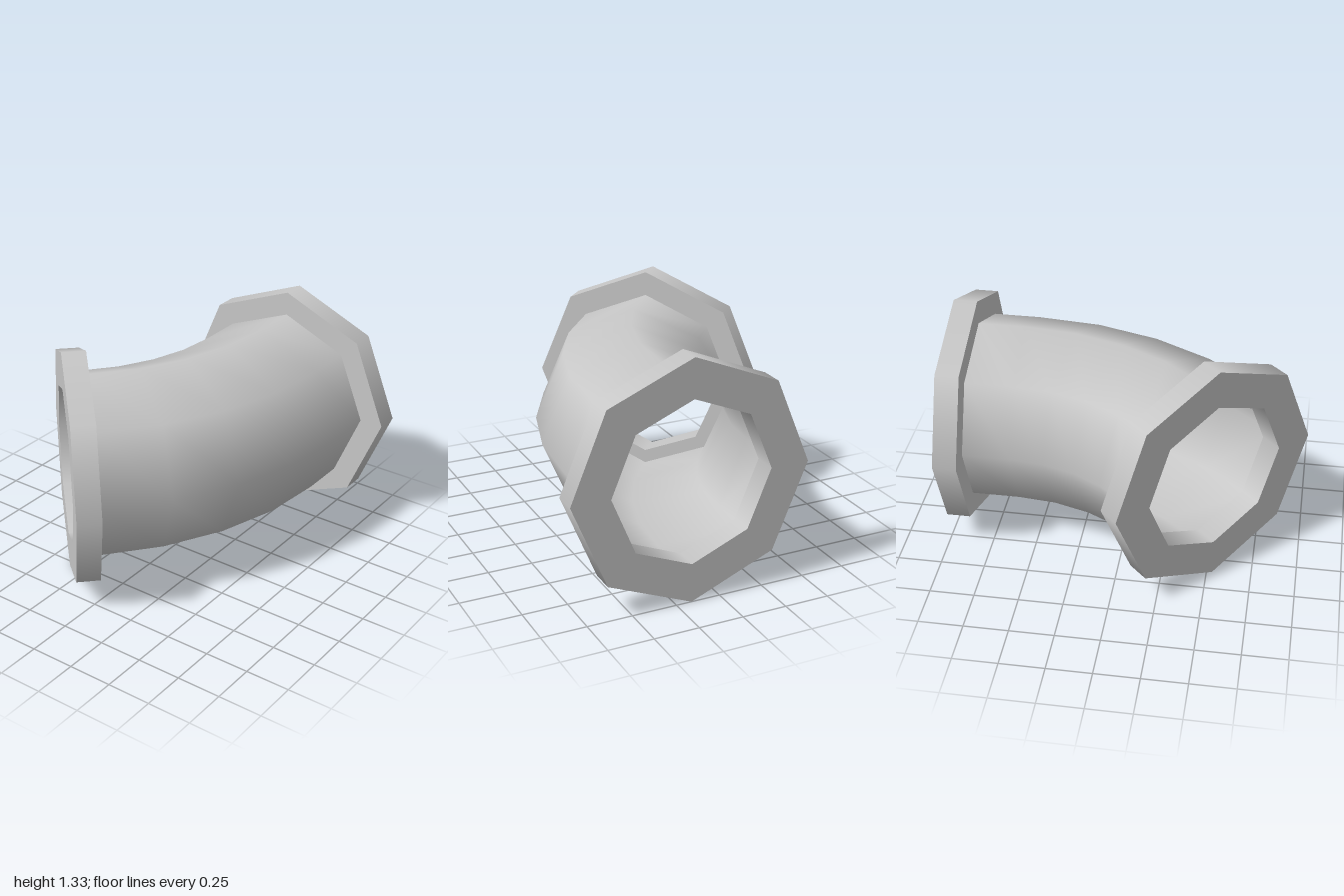
import * as THREE from 'three';
import { mergeGeometries } from 'three/addons/utils/BufferGeometryUtils.js';

const SIDES = 8;
const AXIS_Y = 0.667;      // height of the pipe axis
const PIPE_R = 0.53;
const FLANGE_R = 0.667, HOLE_R = 0.45, FLANGE_T = 0.133;
const BEND_R = 1.466, BEND_X = 0.6, PIPE_Z = 0.163, END_X = 0.867;
const BEND_STEPS = 4, BEND = Math.PI / 4;

// Octagonal ring along +x: smooth around, sharp at its rims
function flangeGeometry() {
  const corners = [[FLANGE_R, 0], [FLANGE_R, FLANGE_T], [HOLE_R, FLANGE_T], [HOLE_R, 0]]
    .map(([r, h]) => new THREE.Vector2(r, h));
  const faces = corners.map((p, i) => new THREE.LatheGeometry([p, corners[(i + 1) % 4]], SIDES));
  return mergeGeometries(faces).rotateZ(-Math.PI / 2);
}

// Thin-walled octagonal tube: short straight run, then a 45 degree bend
function pipeGeometry() {
  const stations = [{ x: END_X, z: PIPE_Z, angle: 0 }];
  for (let i = 0; i <= BEND_STEPS; i++) {
    const angle = (BEND * i) / BEND_STEPS;
    stations.push({
      x: BEND_X - BEND_R * Math.sin(angle),
      z: PIPE_Z - BEND_R * (1 - Math.cos(angle)),
      angle,
    });
  }
  const positions = [], index = [];
  stations.forEach(({ x, z, angle }, i) => {
    for (let j = 0; j < SIDES; j++) {
      const a = (j / SIDES) * Math.PI * 2;
      const out = PIPE_R * Math.sin(a);
      positions.push(x - out * Math.sin(angle), AXIS_Y + PIPE_R * Math.cos(a), z + out * Math.cos(angle));
      if (i < stations.length - 1) {
        const p = i * SIDES + j, q = i * SIDES + ((j + 1) % SIDES);
        index.push(p, p + SIDES, q, q, p + SIDES, q + SIDES);
      }
    }
  });
  const geometry = new THREE.BufferGeometry();
  geometry.setAttribute('position', new THREE.Float32BufferAttribute(positions, 3));
  geometry.setIndex(index);
  geometry.computeVertexNormals();
  return geometry;
}

export function createModel() {
  const group = new THREE.Group();
  group.name = 'pipeElbow';
  const grey = new THREE.MeshStandardMaterial({ color: 0xc8c8c8, side: THREE.DoubleSide });
  grey.name = 'light grey';

  const add = (name, geometry, x = 0, y = 0, z = 0, turn = 0) => {
    const mesh = new THREE.Mesh(geometry, grey);
    mesh.name = name;
    mesh.position.set(x, y, z);
    mesh.rotation.y = turn;
    group.add(mesh);
  };

  add('bentPipe', pipeGeometry());
  const flange = flangeGeometry();
  add('straightFlange', flange, END_X, AXIS_Y, PIPE_Z);
  // Flange closing the bent end, facing back and to the side
  add('angledFlange', flange,
    BEND_X - BEND_R * Math.sin(BEND), AXIS_Y, PIPE_Z - BEND_R * (1 - Math.cos(BEND)),
    Math.PI - BEND);
  return group;
}
